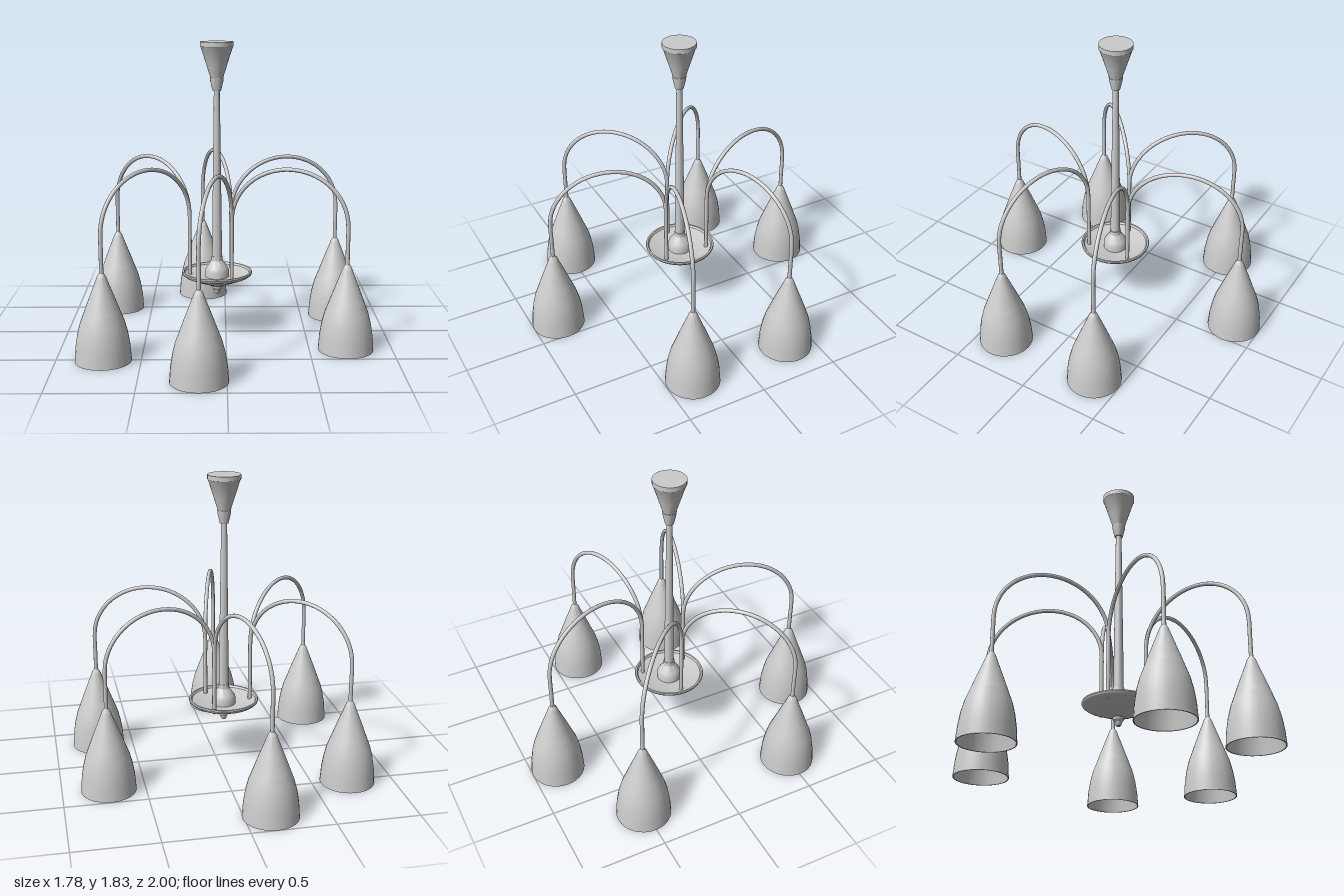
import * as THREE from 'three';
import { toCreasedNormals } from 'three/addons/utils/BufferGeometryUtils.js';

const material = new THREE.MeshStandardMaterial({ color: 0xcccccc, side: THREE.DoubleSide });
const STEM_X = -0.055;

// Turned part from [radius, height] pairs, with sharp edges kept
function turned(name, profile, sides = 32) {
  const points = profile.map(([r, y]) => new THREE.Vector2(r, y));
  const geometry = toCreasedNormals(new THREE.LatheGeometry(points, sides), 0.5);
  const mesh = new THREE.Mesh(geometry, material);
  mesh.name = name;
  return mesh;
}

// Arm: rises from the dish, arches over and drops to the lamp
function arm(start, end) {
  const points = [];
  const at = (t, y) => points.push(new THREE.Vector3(
    THREE.MathUtils.lerp(start[0], end[0], t), y, THREE.MathUtils.lerp(start[1], end[1], t)));
  [0.36, 0.5, 0.64].forEach((y) => at(0, y));
  const steps = 16;
  for (let i = 0; i <= steps; i++) {
    const a = (Math.PI * i) / steps;
    at((1 - Math.cos(a)) / 2, 0.755 + 0.33 * Math.sin(a));
  }
  [0.64, 0.51].forEach((y) => at(1, y));
  const curve = new THREE.CatmullRomCurve3(points);
  const mesh = new THREE.Mesh(new THREE.TubeGeometry(curve, 72, 0.0125, 10), material);
  mesh.name = 'arm';
  return mesh;
}

// Lamp: bell shade, conical cap and a bulb inside
function lamp(x, z) {
  const group = new THREE.Group();
  group.name = 'lamp';
  group.add(
    turned('shade', [
      [0.102, 0.29], [0.125, 0.232], [0.142, 0.165], [0.154, 0.09], [0.159, 0.02], [0.161, 0],
      [0.167, 0], [0.165, 0.02], [0.16, 0.09], [0.148, 0.165], [0.131, 0.232], [0.109, 0.29],
    ]),
    turned('cap', [
      [0.109, 0.29], [0.085, 0.355], [0.058, 0.425], [0.031, 0.495], [0.026, 0.51], [0.013, 0.53], [0, 0.53],
    ]),
    turned('bulb', [
      [0, 0.08], [0.016, 0.085], [0.028, 0.102], [0.034, 0.13], [0.036, 0.17], [0.03, 0.23], [0.025, 0.3], [0.025, 0.45],
    ], 20),
  );
  group.position.set(x, 0, z);
  return group;
}

export function createModel() {
  const model = new THREE.Group();
  model.name = 'chandelier';

  // Central column, top to bottom
  const column = new THREE.Group();
  column.name = 'column';
  column.position.x = STEM_X;
  column.add(
    turned('canopy', [
      [0, 1.6], [0.036, 1.6], [0.062, 1.683], [0.096, 1.79], [0.101, 1.797], [0.101, 1.825], [0, 1.825],
    ]),
    turned('collar', [[0, 1.53], [0.026, 1.53], [0.039, 1.585], [0.042, 1.61], [0, 1.61]]),
    turned('stem', [[0.031, 0.44], [0.029, 0.7], [0.023, 1.15], [0.018, 1.54]], 20),
    turned('hub', [
      [0.075, 0.36], [0.075, 0.405], [0.066, 0.424], [0.047, 0.452], [0.036, 0.468], [0.034, 0.495], [0, 0.497],
    ]),
    turned('dish', [
      [0, 0.3], [0.035, 0.305], [0.12, 0.337], [0.205, 0.373], [0.216, 0.382], [0.22, 0.392],
      [0.217, 0.4], [0.207, 0.4], [0.2, 0.388], [0.12, 0.366], [0, 0.36],
    ], 40),
    turned('finial', [
      [0, 0.25], [0.013, 0.253], [0.019, 0.264], [0.021, 0.277], [0.032, 0.29], [0.035, 0.307],
    ], 20),
  );
  model.add(column);

  // Three arms on each side, mirrored front to back; arms share their feet in pairs
  const arms = [
    [[0.035, 0.145], [0.72, 0.33]],
    [[0.035, 0.145], [-0.155, 0.835]],
    [[-0.225, 0], [-0.722, 0.505]],
  ];
  for (const side of [1, -1]) {
    for (const [[x0, z0], [x1, z1]] of arms) {
      model.add(arm([x0, z0 * side], [x1, z1 * side]), lamp(x1, z1 * side));
    }
  }
  return model;
}
